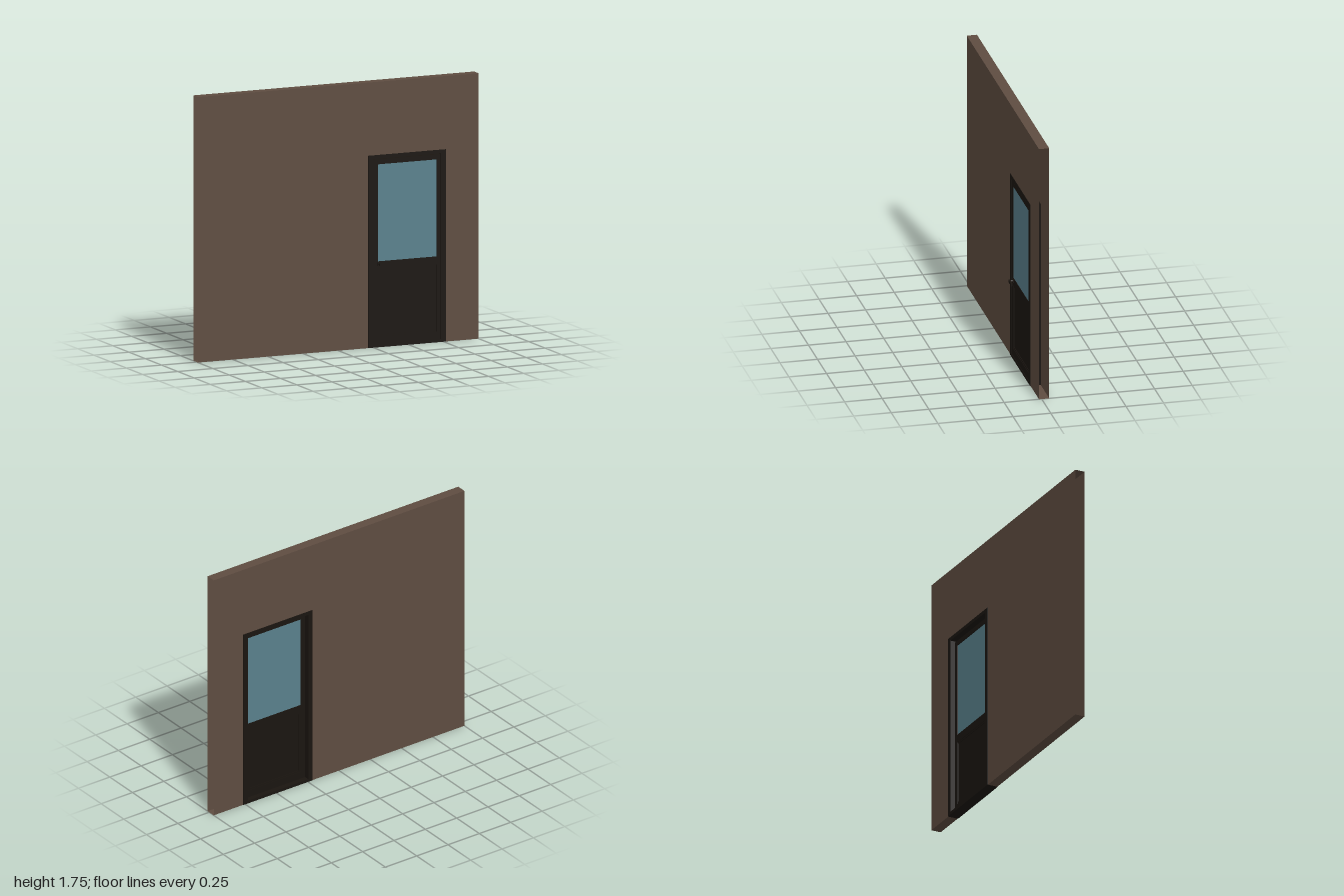
import * as THREE from 'three';

const wallMat = new THREE.MeshStandardMaterial({ color: 0x5f4d41, side: THREE.DoubleSide });
const darkMat = new THREE.MeshStandardMaterial({ color: 0x1a1510 });
const glassMat = new THREE.MeshStandardMaterial({ color: 0x5a818d });

// Box given by its limits on each axis
function box(parent, name, mat, [x0, x1], [y0, y1], [z0, z1]) {
  const mesh = new THREE.Mesh(new THREE.BoxGeometry(x1 - x0, y1 - y0, z1 - z0), mat);
  mesh.position.set((x0 + x1) / 2, (y0 + y1) / 2, (z0 + z1) / 2);
  mesh.name = name;
  parent.add(mesh);
  return mesh;
}

function group(parent, name) {
  const g = new THREE.Group();
  g.name = name;
  parent.add(g);
  return g;
}

// Rectangular ring extruded from z0 to z1
function ring(parent, name, [x0, x1], [y0, y1], w, [z0, z1]) {
  const rect = (S, d) => new S([
    new THREE.Vector2(x0 + d, y0 + d), new THREE.Vector2(x1 - d, y0 + d),
    new THREE.Vector2(x1 - d, y1 - d), new THREE.Vector2(x0 + d, y1 - d),
  ]);
  const shape = rect(THREE.Shape, 0);
  shape.holes.push(rect(THREE.Path, w));
  const geo = new THREE.ExtrudeGeometry(shape, { depth: z1 - z0, bevelEnabled: false });
  const mesh = new THREE.Mesh(geo, darkMat);
  mesh.position.z = z0;
  mesh.name = name;
  parent.add(mesh);
}

export function createModel() {
  const model = new THREE.Group();
  model.name = 'wallWithDoor';

  const H = 1.745, wallZ = [-0.05, 0.018];
  const doorX = [0.213, 0.765], doorTop = 1.264, frameZ = [-0.053, 0.021];

  // Wall: two skins around the doorway, closed above and below, open at the ends
  const wall = group(model, 'wall');
  const outline = new THREE.Shape([
    [-1, 0], [doorX[0], 0], [doorX[0], doorTop], [doorX[1], doorTop],
    [doorX[1], 0], [1, 0], [1, H], [-1, H],
  ].map(([x, y]) => new THREE.Vector2(x, y)));
  for (const [name, z] of [['wallFront', wallZ[1]], ['wallBack', wallZ[0]]]) {
    const skin = new THREE.Mesh(new THREE.ShapeGeometry(outline), wallMat);
    if (name === 'wallBack') {
      // reverse the winding so the skin faces outward
      skin.geometry.index.array.reverse();
      skin.geometry.computeVertexNormals();
    }
    skin.position.z = z;
    skin.name = name;
    wall.add(skin);
  }
  const cap = (name, x0, x1, y, up) => {
    const m = new THREE.Mesh(new THREE.PlaneGeometry(x1 - x0, wallZ[1] - wallZ[0]), wallMat);
    m.rotation.x = up ? -Math.PI / 2 : Math.PI / 2;
    m.position.set((x0 + x1) / 2, y, (wallZ[0] + wallZ[1]) / 2);
    m.name = name;
    wall.add(m);
  };
  cap('wallTop', -1, 1, H, true);
  cap('wallBottomRight', -1, doorX[0], 0, false);
  cap('wallBottomLeft', doorX[1], 1, 0, false);

  // Door frame: jambs, head and threshold
  const frame = group(model, 'doorFrame');
  const fw = 0.035;
  const inX = [doorX[0] + fw, doorX[1] - fw], headY = 1.24;
  box(frame, 'rightJamb', darkMat, [doorX[0], inX[0]], [0, doorTop], frameZ);
  box(frame, 'leftJamb', darkMat, [inX[1], doorX[1]], [0, doorTop], frameZ);
  box(frame, 'head', darkMat, inX, [headY, doorTop], frameZ);
  box(frame, 'threshold', darkMat, inX, [0, 0.02], frameZ);

  // Door leaf: stiles and rails, with a narrow gap under the head
  const leaf = group(model, 'doorLeaf');
  const leafZ = [-0.018, 0.018], leafTop = 1.234;
  const glassX = [0.283, 0.703], glassY = [0.564, 1.202], panelY = [0.07, 0.51];
  box(leaf, 'rightStile', darkMat, [inX[0], glassX[0]], [0.02, leafTop], leafZ);
  box(leaf, 'leftStile', darkMat, [glassX[1], inX[1]], [0.02, leafTop], leafZ);
  box(leaf, 'topRail', darkMat, glassX, [glassY[1], leafTop], leafZ);
  box(leaf, 'lockRail', darkMat, glassX, [panelY[1], glassY[0]], leafZ);
  box(leaf, 'bottomRail', darkMat, glassX, [0.02, panelY[0]], leafZ);
  box(leaf, 'windowPane', glassMat, glassX, glassY, [-0.013, 0.015]);

  // Lower panel with a moulding on both faces
  box(leaf, 'lowerPanel', darkMat, glassX, panelY, [-0.011, 0.011]);
  ring(leaf, 'panelMoulding', glassX, panelY, 0.012, [-0.015, 0.015]);

  // Lever handle
  const handle = group(model, 'handle');
  box(handle, 'handleRose', darkMat, [0.281, 0.303], [0.535, 0.557], [0.018, 0.024]);
  const stem = new THREE.Mesh(new THREE.CylinderGeometry(0.008, 0.008, 0.03, 16), darkMat);
  stem.rotation.x = Math.PI / 2;
  stem.position.set(0.292, 0.546, 0.035);
  stem.name = 'handleStem';
  handle.add(stem);
  box(handle, 'handleLever', darkMat, [0.284, 0.36], [0.538, 0.554], [0.039, 0.05]);

  return model;
}
